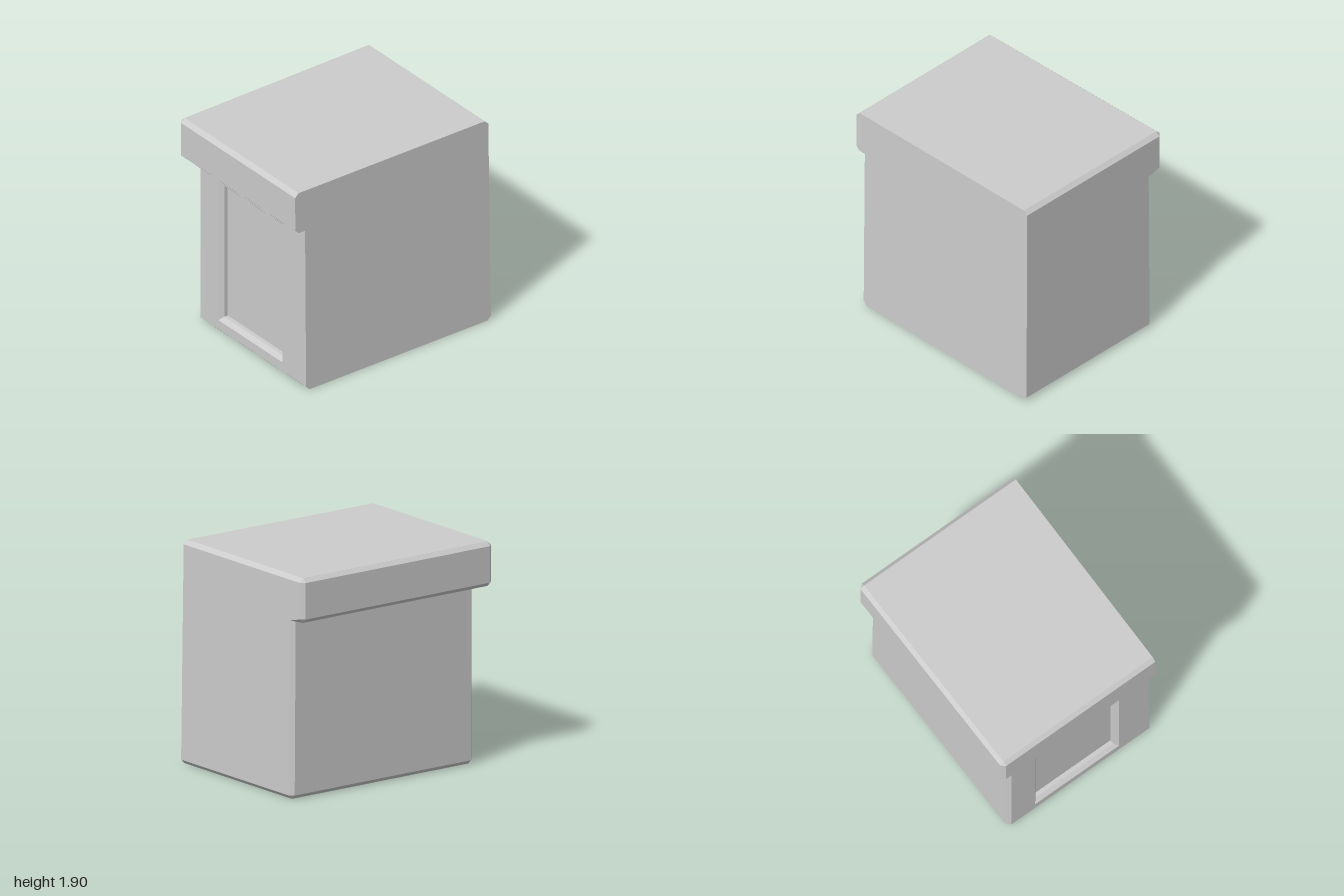
import * as THREE from 'three';

const BEVEL = 0.035;
const BODY = { left: -0.9, back: -0.675 };
const LID = { left: -1, back: -0.805 };

// The front and right faces lean very slightly.
const frontZ = (x, y) => 0.787 + 0.013 * x - 0.009 * y;
const rightX = (y) => 1 - 0.0075 * y;

// Horizontal outline, counter-clockwise from above. `inset` shrinks the bevelled sides,
// `flushRight` keeps the right face straight in front of the overhang.
function ring(y, { left, back }, inset = false, flushRight = false) {
  const b = BEVEL;
  const xr = rightX(y);
  const xi = xr - b;
  const xl = left + (inset ? b : 0);
  const xs = inset && !flushRight ? xi : xr;
  const outline = [
    [xs, frontZ(xs, y)],
    [xs, BODY.back + b],
    [inset ? xi : xr, back + b],
    [xi, back + (inset ? b : 0)],
    [left + b, back + (inset ? b : 0)],
    [xl, back + b],
    [xl, frontZ(xl, y)],
  ];
  return outline.map(([x, z]) => new THREE.Vector3(x, y, z));
}

// Flat-shaded mesh from a list of polygons (each a convex fan).
function meshFrom(name, polygons, material) {
  const points = [];
  for (const poly of polygons) {
    for (let i = 1; i < poly.length - 1; i++) {
      const tri = new THREE.Triangle(poly[0], poly[i], poly[i + 1]);
      if (tri.getArea() > 1e-7) points.push(tri.a, tri.b, tri.c);
    }
  }
  const geometry = new THREE.BufferGeometry().setFromPoints(points);
  geometry.computeVertexNormals();
  const mesh = new THREE.Mesh(geometry, material);
  mesh.name = name;
  return mesh;
}

// Quads between successive closed loops; `skip(loop, side)` leaves a gap.
function strips(loops, skip = () => false) {
  const polygons = [];
  for (let i = 0; i < loops.length - 1; i++) {
    const a = loops[i];
    const b = loops[i + 1];
    a.forEach((p, j) => {
      const k = (j + 1) % a.length;
      if (!skip(i, j)) polygons.push([p, a[k], b[k], b[j]]);
    });
  }
  return polygons;
}

export function createModel() {
  const group = new THREE.Group();
  const grey = new THREE.MeshStandardMaterial({ color: 0xcccccc });
  grey.name = 'light grey';

  // Body, with its left side left open for the recessed panel
  const bodyRings = [ring(0, BODY, true), ring(BEVEL, BODY), ring(1.52, BODY)];
  const bodyFaces = strips(bodyRings, (i, j) => i === 1 && j === 5);
  bodyFaces.push([...bodyRings[0]].reverse());
  group.add(meshFrom('body', bodyFaces, grey));

  // Lid, overhanging at the left and back
  const lidRings = [
    bodyRings[2],
    ring(1.52, LID, true, true),
    ring(1.52 + BEVEL, LID),
    ring(1.9 - BEVEL, LID),
    ring(1.9, LID, true),
  ];
  group.add(meshFrom('lid', [...strips(lidRings), lidRings[4]], grey));

  // Left side with a chamfered recess
  const opening = (x, inset) => {
    const z0 = -0.4 + inset, z1 = 0.46 - inset, y0 = 0.12 + inset, y1 = 1.44 - inset;
    return [[y0, z0], [y0, z1], [y1, z1], [y1, z0]].map(([y, z]) => new THREE.Vector3(x, y, z));
  };
  const [, low, high] = bodyRings;
  const loops = [
    [low[5], low[6], high[6], high[5]],
    opening(BODY.left, 0),
    opening(BODY.left + BEVEL, BEVEL),
    opening(BODY.left + 2 * BEVEL, BEVEL),
  ];
  group.add(meshFrom('recessedSidePanel', [...strips(loops), loops[3]], grey));

  return group;
}
